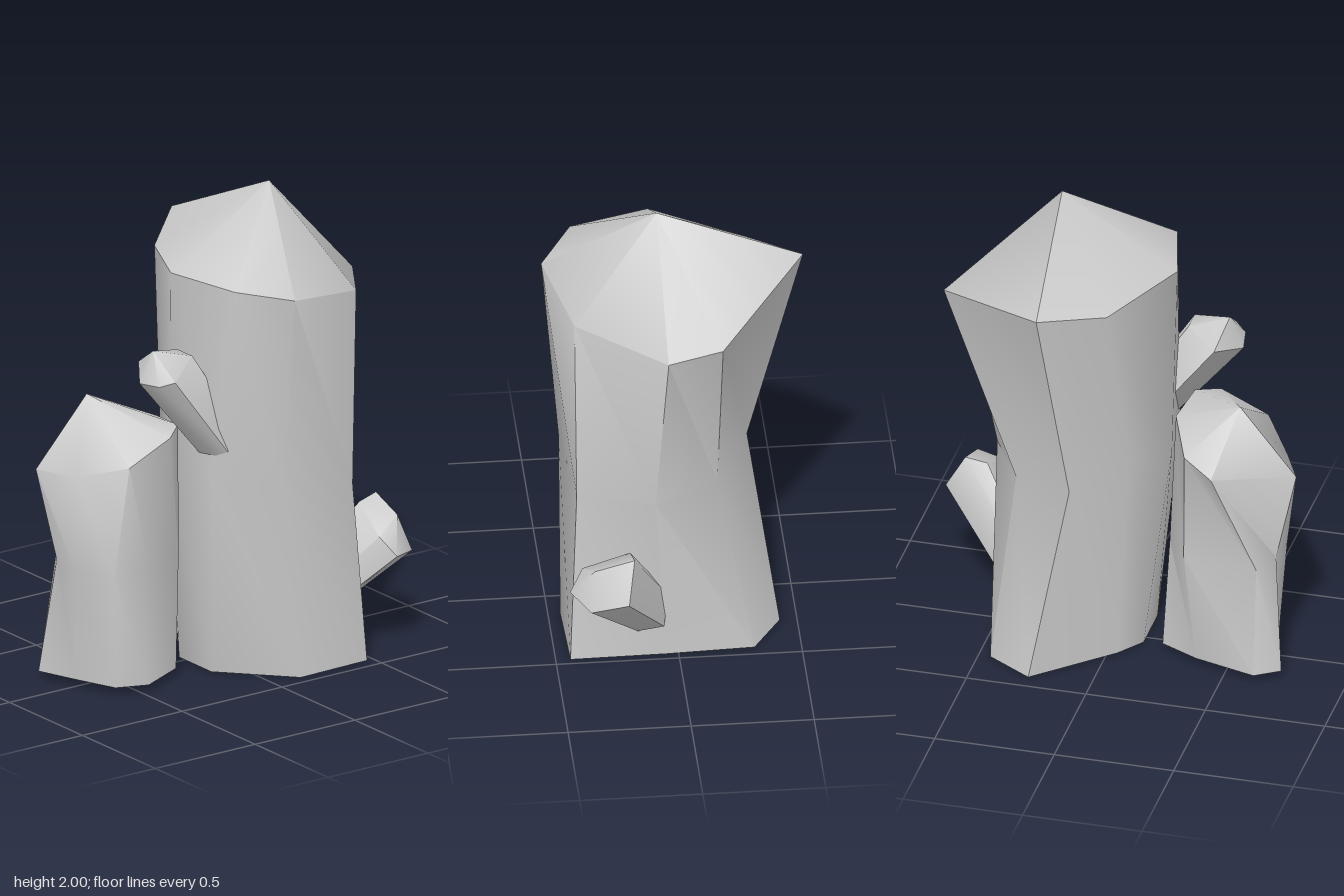
import * as THREE from 'three';
import { toCreasedNormals } from 'three/addons/utils/BufferGeometryUtils.js';

const material = new THREE.MeshStandardMaterial({ color: 0xcccccc });

// Average of a ring of points
const middle = (ring) => [0, 1, 2].map((k) => ring.reduce((s, p) => s + p[k], 0) / ring.length);

// Closed crystal from rings of [x, y, z] points (bottom to top) and a tip
function crystal(name, rings, tip) {
  const pos = [];
  const tri = (...pts) => pts.forEach((p) => pos.push(...p));
  const n = rings[0].length;
  const centre = middle(rings[0]);
  const last = rings[rings.length - 1];
  for (let i = 0; i < n; i++) {
    const j = (i + 1) % n;
    tri(rings[0][i], rings[0][j], centre);
    for (let r = 0; r + 1 < rings.length; r++) {
      const low = rings[r], high = rings[r + 1];
      tri(low[i], high[i], high[j]);
      tri(low[i], high[j], low[j]);
    }
    tri(last[i], tip, last[j]);
  }
  const geometry = new THREE.BufferGeometry();
  geometry.setAttribute('position', new THREE.Float32BufferAttribute(pos, 3));
  const mesh = new THREE.Mesh(toCreasedNormals(geometry, 0.85), material);
  mesh.name = name;
  return mesh;
}

// Short crystal whose root is a smaller copy of its shoulder ring
function sprout(name, root, scale, ring, tip) {
  const c = middle(ring);
  const foot = ring.map((p) => p.map((v, k) => root[k] + (v - c[k]) * scale));
  return crystal(name, [foot, ring], tip);
}

export function createModel() {
  const group = new THREE.Group();
  group.name = 'crystalCluster';

  // Tall crystal: foot, waist and flared shoulder
  group.add(crystal('tallCrystal', [
    [[-0.04, 0, -0.15], [0.26, 0, -0.43], [0.45, 0, -0.31], [0.465, 0, 0.05],
      [0.47, 0, 0.44], [0.13, 0, 0.45], [-0.12, 0, 0.18], [-0.12, 0, -0.04]],
    [[-0.1, 0.95, -0.2], [0.12, 0.82, -0.31], [0.38, 0.77, -0.165], [0.53, 0.77, 0.1],
      [0.42, 0.76, 0.41], [0.05, 0.82, 0.45], [-0.19, 0.85, 0.28], [-0.22, 0.88, 0.03]],
    [[-0.04, 1.67, -0.32], [0.2, 1.73, -0.53], [0.685, 1.6, -0.16], [0.675, 1.54, 0.06],
      [0.43, 1.59, 0.42], [0.05, 1.65, 0.52], [-0.15, 1.69, 0.385], [-0.235, 1.7, 0.06]],
  ], [0.25, 2, 0.07]));

  // Shorter crystal beside it
  group.add(crystal('shortCrystal', [
    [[-0.73, 0.03, -0.17], [-0.63, 0.03, -0.235], [-0.37, 0.03, -0.16], [-0.21, 0.03, -0.08],
      [-0.26, 0.03, 0.13], [-0.47, 0.03, 0.23], [-0.6, 0.03, 0.18], [-0.67, 0.03, 0]],
    [[-0.69, 0.52, -0.1], [-0.63, 0.5, -0.19], [-0.33, 0.52, -0.2], [-0.24, 0.52, -0.08],
      [-0.24, 0.52, 0.12], [-0.47, 0.53, 0.23], [-0.62, 0.51, 0.2], [-0.7, 0.51, 0.04]],
    [[-0.78, 0.92, -0.12], [-0.475, 0.97, -0.32], [-0.35, 1.03, -0.27], [-0.25, 1.07, -0.02],
      [-0.28, 1.09, 0.17], [-0.37, 1.07, 0.24], [-0.57, 0.98, 0.235], [-0.7, 0.915, 0.05]],
  ], [-0.54, 1.2, -0.1]));

  // Small crystals on either flank
  group.add(sprout('upperSprout', [-0.12, 1.0, 0.23], 0.8, [
    [-0.39, 1.35, 0.05], [-0.26, 1.4, 0.14], [-0.26, 1.4, 0.24],
    [-0.41, 1.34, 0.33], [-0.46, 1.32, 0.29], [-0.48, 1.31, 0.18],
  ], [-0.42, 1.44, 0.19]));
  group.add(sprout('lowerSprout', [0.42, 0.19, 0.12], 0.7, [
    [0.6, 0.59, 0.21], [0.69, 0.61, 0.2], [0.78, 0.45, 0.23],
    [0.74, 0.4, 0.38], [0.61, 0.42, 0.455], [0.56, 0.5, 0.4],
  ], [0.68, 0.56, 0.36]));

  return group;
}
